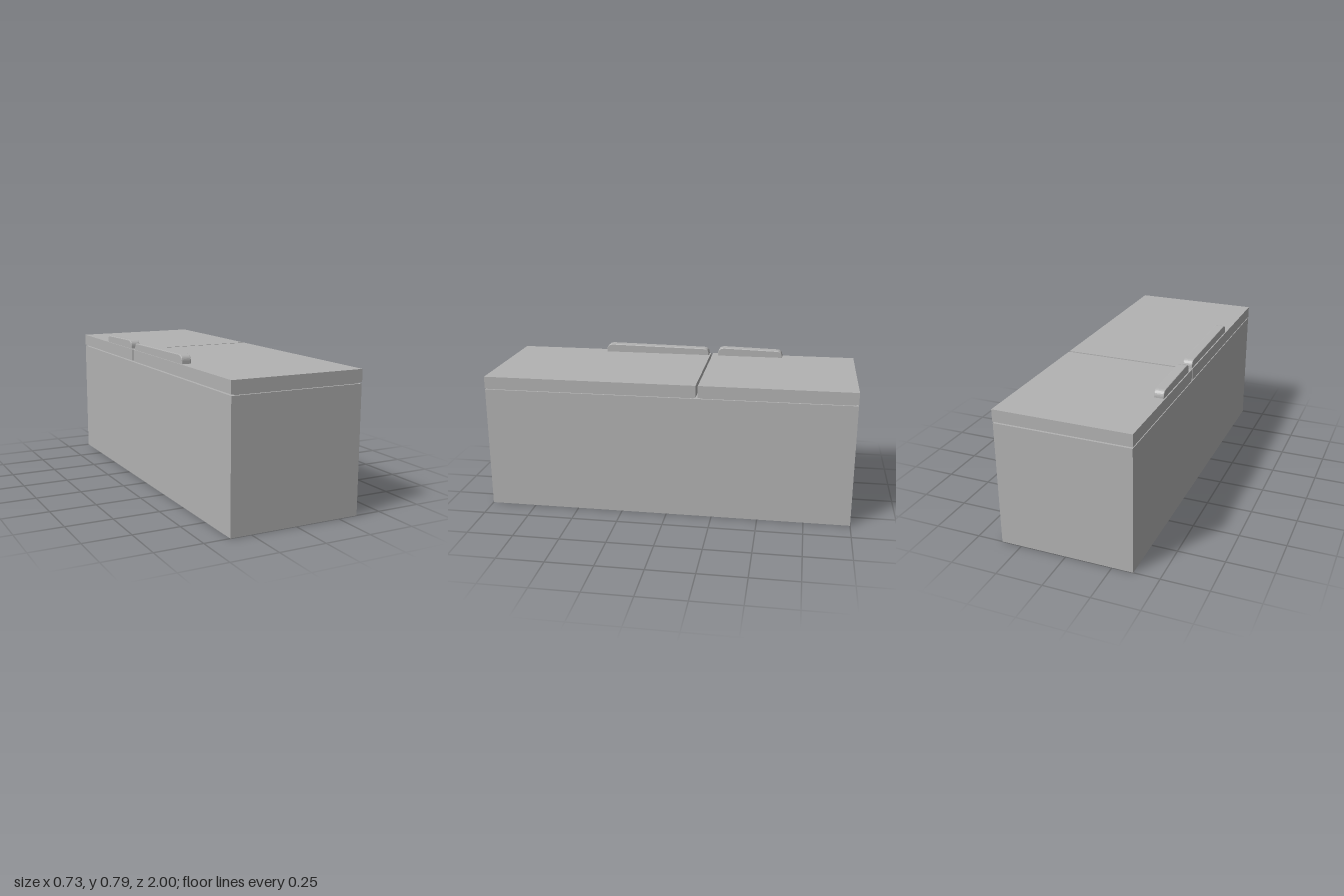
import * as THREE from 'three';

export function createModel() {
  const model = new THREE.Group();
  model.name = 'refrigerator';
  const grey = new THREE.MeshStandardMaterial({ color: 0xb2b2b2 });
  grey.name = 'light grey';

  // Axis-aligned box given by its limits
  function block(name, [x0, x1], [y0, y1], [z0, z1]) {
    const mesh = new THREE.Mesh(new THREE.BoxGeometry(x1 - x0, y1 - y0, z1 - z0), grey);
    mesh.position.set((x0 + x1) / 2, (y0 + y1) / 2, (z0 + z1) / 2);
    mesh.name = name;
    model.add(mesh);
  }

  // Cabinet lying on its back, with recessed seals under two doors
  const width = [-0.362, 0.36];
  block('cabinet', width, [0, 0.672], [-1, 1]);
  const doors = [['freezer', -1, -0.17], ['fridge', -0.158, 1]];
  for (const [name, back, front] of doors) {
    block(name + 'Seal', [-0.342, 0.35], [0.672, 0.679], [back + 0.012, front - 0.012]);
    block(name + 'Door', [-0.363, 0.362], [0.679, 0.744], [back, front]);
  }

  // Low grip with rounded ends, sloping slightly along its length
  function handle(name, front, back) {
    const bevel = 0.004, base = 0.744, top = 0.787, end = 0.779;
    const a = -front + bevel, b = -back - bevel;
    const profile = new THREE.Shape();
    profile.moveTo(a, base);
    profile.lineTo(b, base);
    profile.bezierCurveTo(b, end - 0.012, b - 0.008, end, b - 0.03, end);
    profile.lineTo(a + 0.035, top);
    profile.bezierCurveTo(a + 0.012, top, a, top - 0.01, a, top - 0.028);
    profile.closePath();
    const geometry = new THREE.ExtrudeGeometry(profile, {
      depth: 0.053 - 2 * bevel, curveSegments: 8,
      bevelEnabled: true, bevelThickness: bevel, bevelSize: bevel, bevelSegments: 2,
    });
    geometry.rotateY(Math.PI / 2);
    geometry.translate(-0.357 + bevel, 0, 0);
    const mesh = new THREE.Mesh(geometry, grey);
    mesh.name = name;
    model.add(mesh);
  }
  handle('fridgeHandle', 0.472, -0.15);
  handle('freezerHandle', -0.205, -0.585);

  return model;
}
